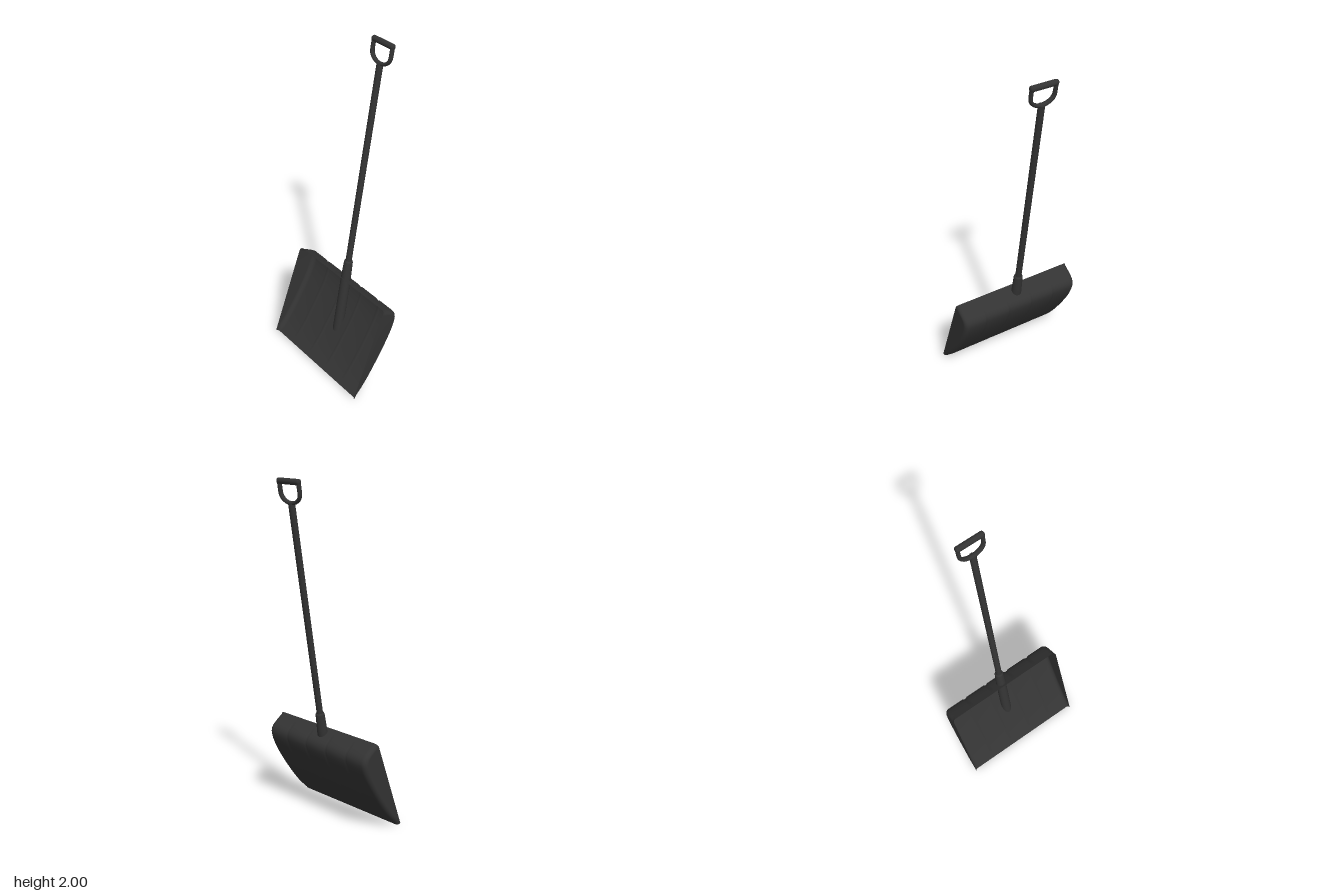
import * as THREE from 'three';

const dark = new THREE.MeshStandardMaterial({ color: 0x333333 });
const darkSheet = new THREE.MeshStandardMaterial({ color: 0x333333, side: THREE.DoubleSide });

function part(name, geometry, material = dark) {
  const mesh = new THREE.Mesh(geometry, material);
  mesh.name = name;
  return mesh;
}

const lathe = (pts, segments = 24) =>
  new THREE.LatheGeometry(pts.map(([r, y]) => new THREE.Vector2(r, y)), segments);

// Scoop: a curved back sheet swept up its profile, with side walls reaching a straight front edge
function scoopGeometry() {
  const halfWidth = 0.377, rows = 40, arcSteps = 6;
  // profile points as [z, y], from the lip up to the top rim
  const profile = new THREE.CatmullRomCurve3(
    [[0.245, 0.003], [0.165, 0.085], [0.053, 0.24], [-0.03, 0.38], [-0.058, 0.45],
      [-0.063, 0.485], [-0.053, 0.512], [-0.03, 0.532], [0.037, 0.576]]
      .map(([z, y]) => new THREE.Vector3(0, y, z)), false, 'centripetal');
  const frontLow = new THREE.Vector3(0, 0.014, 0.262);
  const frontHigh = new THREE.Vector3(0, 0.56, 0.05);
  // pressed grooves: [x, fraction of groove depth]
  const grooves = [[0.245, 0], [0.238, 1], [0.222, 1], [0.213, 0],
    [0.092, 0], [0.084, 1], [0.07, 1], [0.062, 0]];

  const positions = [], index = [];
  let columns = 0;
  for (let i = 0; i <= rows; i++) {
    const t = i / rows;
    const back = profile.getPointAt(t);
    const inward = frontLow.clone().lerp(frontHigh, t).sub(back);
    const depth = inward.length();
    inward.normalize();
    const r = Math.min(0.03, depth * 0.95);
    const fade = 0.005 * THREE.MathUtils.smoothstep(t, 0.04, 0.15)
      * (1 - THREE.MathUtils.smoothstep(t, 0.88, 0.97));
    const half = [[halfWidth, depth]];
    for (let k = 0; k <= arcSteps; k++) {
      const a = (k / arcSteps) * Math.PI / 2;
      half.push([halfWidth - r + r * Math.cos(a), r - r * Math.sin(a)]);
    }
    for (const [x, g] of grooves) half.push([x, g * fade]);
    const section = [...half.map(([x, d]) => [-x, d]), ...half.reverse()];
    columns = section.length;
    for (const [x, d] of section) {
      positions.push(x, back.y + inward.y * d, back.z + inward.z * d);
    }
  }
  for (let i = 0; i < rows; i++) {
    for (let j = 0; j < columns - 1; j++) {
      const a = i * columns + j, b = a + 1, c = a + columns, d = c + 1;
      index.push(a, b, d, a, d, c);
    }
  }
  const geometry = new THREE.BufferGeometry();
  geometry.setAttribute('position', new THREE.Float32BufferAttribute(positions, 3));
  geometry.setIndex(index);
  geometry.computeVertexNormals();
  return geometry;
}

// Socket: tapered collar whose lower end is cut obliquely to meet the scoop's back
function socketGeometry() {
  const geometry = lathe([[0.031, -1.76], [0.03, -1.45], [0.029, -1.43],
    [0.026, -1.335], [0.024, -1.327], [0.017, -1.324]]);
  const p = geometry.attributes.position;
  for (let i = 0; i < p.count; i++) {
    if (p.getY(i) < -1.7) p.setY(i, p.getY(i) - p.getZ(i) * 2.3);
  }
  return geometry;
}

// D-shaped bow under the grip
function bowGeometry() {
  const w = 0.069, points = [[-w, 0], [-w, -0.055]];
  for (let k = 1; k < 12; k++) {
    const a = Math.PI + (k / 12) * Math.PI;
    points.push([w * Math.cos(a), -0.058 + 0.054 * Math.sin(a)]);
  }
  points.push([w, -0.055], [w, 0]);
  const path = new THREE.CatmullRomCurve3(points.map(([x, y]) => new THREE.Vector3(x, y, 0)));
  return new THREE.TubeGeometry(path, 48, 0.01, 12).scale(1, 1, 1.35);
}

export function createModel() {
  const model = new THREE.Group();
  model.name = 'snowShovel';
  model.add(part('scoop', scoopGeometry(), darkSheet));

  // Everything on the leaning pole, measured down from the grip
  const pole = new THREE.Group();
  pole.name = 'pole';
  pole.position.set(0, 1.984, -0.249);
  pole.rotation.x = -0.172;

  const grip = part('grip', lathe([[0, -0.08], [0.01, -0.079], [0.0145, -0.075], [0.016, -0.068],
    [0.016, 0.068], [0.0145, 0.075], [0.01, 0.079], [0, 0.08]]));
  grip.rotation.z = Math.PI / 2;
  const shaft = part('shaft', new THREE.CylinderGeometry(0.018, 0.018, 1.25, 24));
  shaft.position.y = -0.735;
  pole.add(grip, part('handleBow', bowGeometry()), shaft,
    part('socket', socketGeometry(), darkSheet));
  model.add(pole);
  return model;
}
